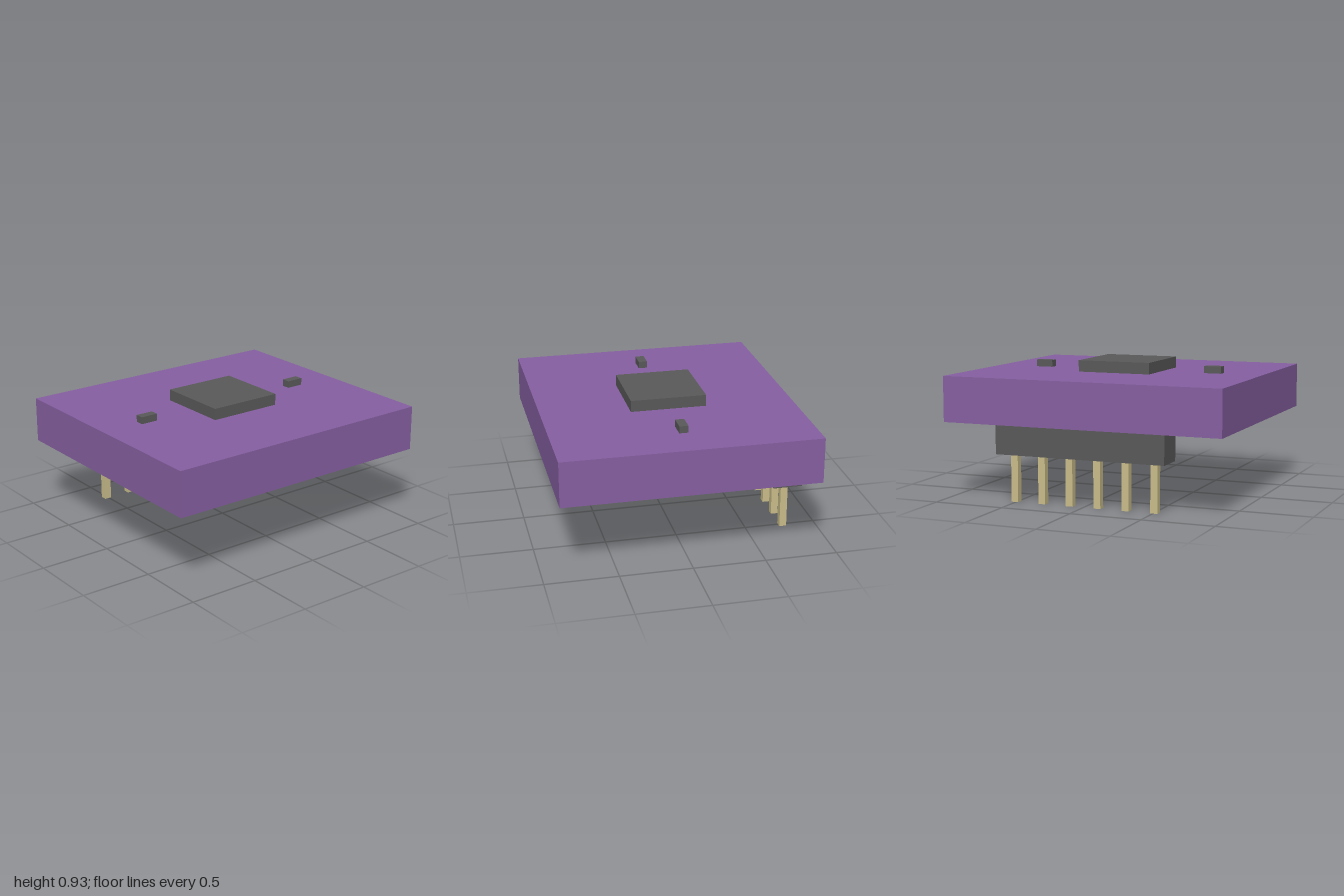
import * as THREE from 'three';

export function createModel() {
  const model = new THREE.Group();
  model.name = 'sensorBoard';

  const purple = new THREE.MeshStandardMaterial({ color: 0x865fa1 });
  purple.name = 'purple board';
  const charcoal = new THREE.MeshStandardMaterial({ color: 0x59595a });
  charcoal.name = 'charcoal plastic';
  const gold = new THREE.MeshStandardMaterial({ color: 0xc9bc8a });
  gold.name = 'pale gold';

  // Box resting with its underside at y = bottom
  function block(name, material, w, h, d, x, bottom, z) {
    const mesh = new THREE.Mesh(new THREE.BoxGeometry(w, h, d), material);
    mesh.name = name;
    mesh.position.set(x, bottom + h / 2, z);
    model.add(mesh);
  }

  const boardBottom = 0.535, boardTop = 0.852;
  const headerBottom = 0.335, headerZ = -0.767;

  // Circuit board and the central chip
  block('board', purple, 2, boardTop - boardBottom, 1.76, 0, boardBottom, 0);
  block('chip', charcoal, 0.53, 0.08, 0.53, 0, boardTop, 0);

  // Small components either side of the chip
  for (const side of [-1, 1]) {
    block(side > 0 ? 'leftComponent' : 'rightComponent', charcoal,
      0.124, 0.049, 0.062, side * 0.645, boardTop, 0);
  }

  // Pin header under the back edge
  block('pinHeader', charcoal, 1.216, boardBottom - headerBottom, 0.203, 0, headerBottom, headerZ);
  for (let i = 0; i < 6; i++) {
    block('pin' + (i + 1), gold, 0.05, headerBottom, 0.05, (i - 2.5) * 0.203, 0, headerZ);
  }

  return model;
}
